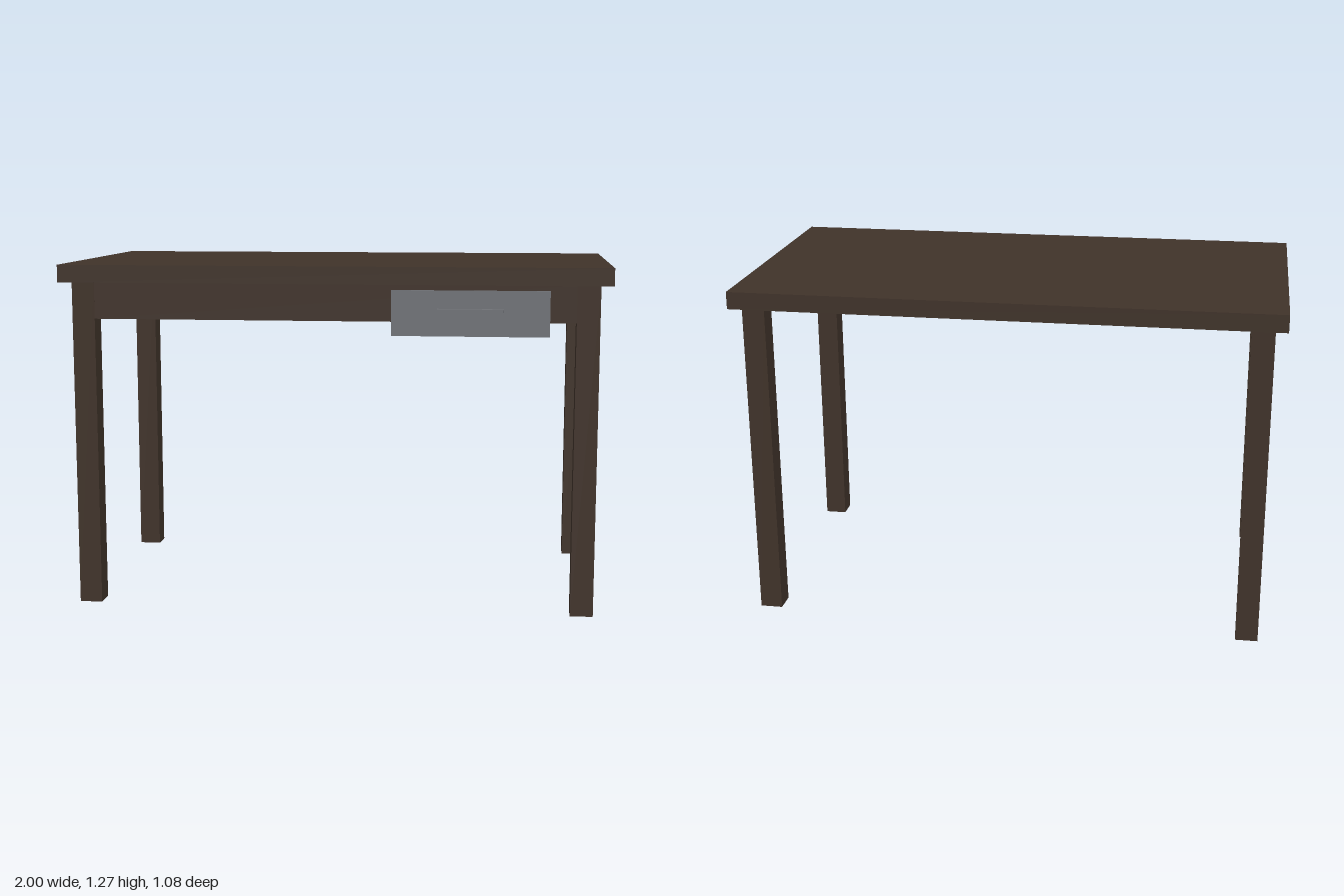
import * as THREE from 'three';

const wood = new THREE.MeshStandardMaterial({ color: 0x40332a });
const metal = new THREE.MeshStandardMaterial({ color: 0x707277 });

// Box given by its minimum and maximum corners
function box(name, material, [x0, y0, z0], [x1, y1, z1]) {
  const mesh = new THREE.Mesh(new THREE.BoxGeometry(x1 - x0, y1 - y0, z1 - z0), material);
  mesh.position.set((x0 + x1) / 2, (y0 + y1) / 2, (z0 + z1) / 2);
  mesh.name = name;
  return mesh;
}

export function createModel() {
  const table = new THREE.Group();
  table.name = 'desk';

  // Table top
  table.add(box('tableTop', wood, [-1, 1.204, -0.542], [1, 1.268, 0.542]));

  // Four square legs
  const legWidth = 0.083;
  for (const sx of [-1, 1]) {
    for (const sz of [-1, 1]) {
      const x = sx * 0.915, z = sz * 0.467, h = legWidth / 2;
      const name = (sz > 0 ? 'front' : 'back') + (sx > 0 ? 'Left' : 'Right') + 'Leg';
      table.add(box(name, wood, [x - h, 0, z - h], [x + h, 1.204, z + h]));
    }
  }

  // Apron between the front legs
  table.add(box('frontApron', wood, [-0.874, 1.07, 0.475], [0.874, 1.204, 0.508]));

  // Drawer front with its pull
  const drawer = new THREE.Group();
  drawer.name = 'drawer';
  drawer.add(box('drawerFront', metal, [0.215, 1.02, 0.487], [0.78, 1.184, 0.517]));
  drawer.add(box('drawerHandle', metal, [0.38, 1.087, 0.517], [0.616, 1.119, 0.542]));
  table.add(drawer);

  return table;
}
